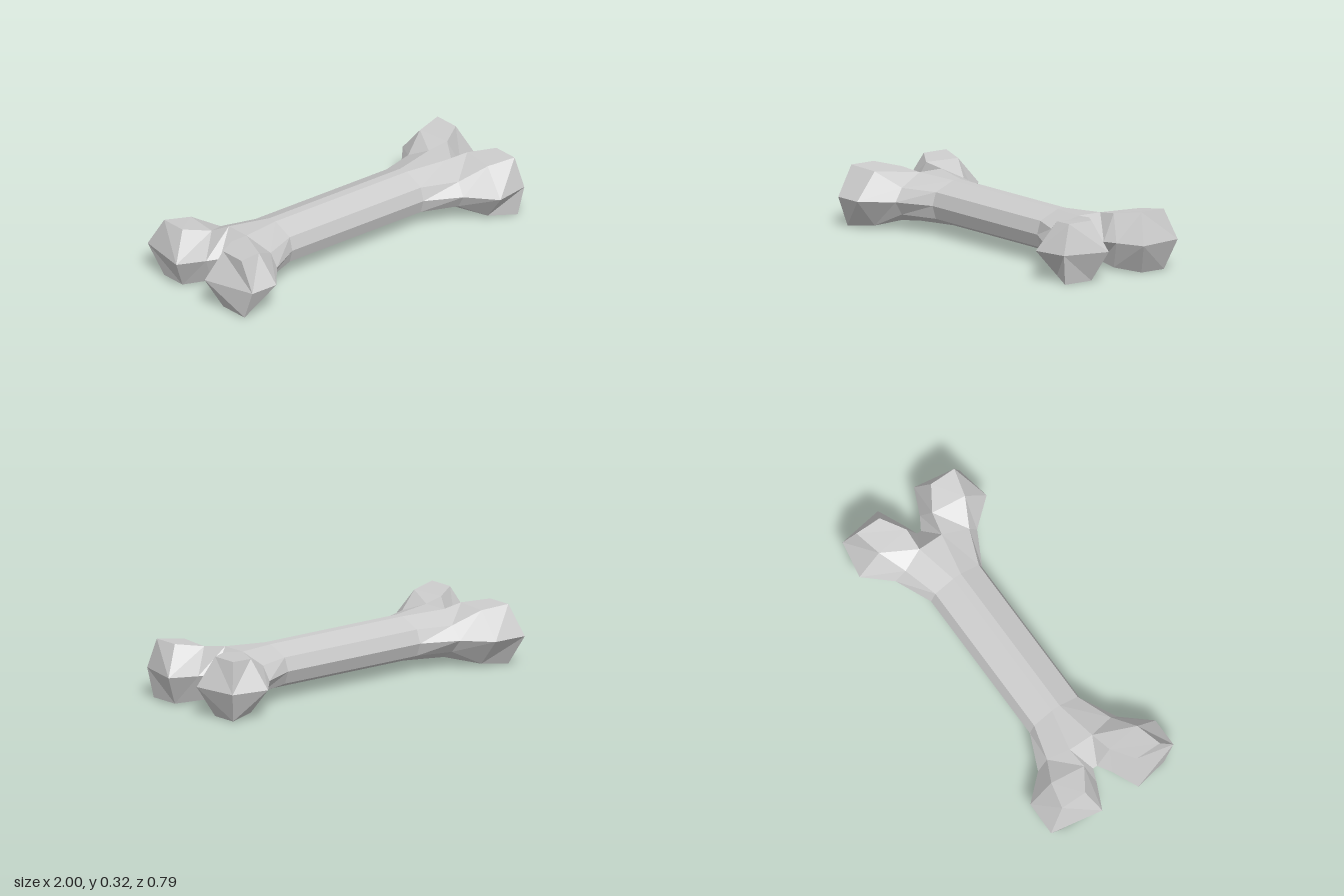
import * as THREE from 'three';

const HEIGHT = 0.316; // top and bottom mirror about half of this
const MID = HEIGHT / 2;
const below = ([x, y, z], dz = 0) => [x, HEIGHT - y, z + dz];

// Shaft profile halves: middle, shoulder and crown as [x, y, z] for x > 0
const WAIST = {
  front: [[0.44, MID, 0.147], [0.44, 0.228, 0.126], [0.44, 0.276, 0.013]],
  back: [[0.44, MID, -0.174], [0.44, 0.228, -0.147], [0.44, 0.276, -0.035]],
};
const FORK = {
  front: [[0.625, MID, 0.245], [0.63, 0.228, 0.2], [0.67, 0.285, 0.055]],
  back: [[0.635, MID, -0.26], [0.63, 0.228, -0.2], [0.67, 0.285, -0.085]],
};
const CROTCH = { front: [0.785, MID, 0.005], back: [0.785, MID, -0.02] };

// Outer equator corners of each knob: [neck, tip] as [x, z]
const OUTER = {
  '1front': [[0.75, 0.393], [0.94, 0.357]],
  '1back': [[0.76, -0.398], [0.965, -0.36]],
  '-1front': [[0.755, 0.393], [0.915, 0.393]],
  '-1back': [[0.76, -0.396], [0.95, -0.4]],
};

// Collects quads and turns them into a flat-shaded mesh
function facetMesh(name, material, addFaces) {
  const positions = [];
  const quad = (corners, flip = false) => {
    const [a, b, c, d] = flip ? [...corners].reverse() : corners;
    for (const p of [a, b, c, a, c, d]) positions.push(...p);
  };
  addFaces(quad);
  const geometry = new THREE.BufferGeometry();
  geometry.setAttribute('position', new THREE.Float32BufferAttribute(positions, 3));
  geometry.computeVertexNormals();
  const mesh = new THREE.Mesh(geometry, material);
  mesh.name = name;
  return mesh;
}

// Joins neighbouring rings with a band of quads
function loft(quad, rings, flip) {
  for (let r = 0; r < rings.length - 1; r++) {
    const a = rings[r], b = rings[r + 1];
    a.forEach((p, i) => {
      const j = (i + 1) % a.length;
      quad([p, b[i], b[j], a[j]], flip);
    });
  }
}

const toSide = (sx, ring) => ring.map(([x, y, z]) => [sx * x, y, z]);

// Ten-sided ring around the shaft
function shaftRing({ front: f, back: b }, sx) {
  return toSide(sx, [
    f[0], f[1], f[2], b[2], b[1], b[0],
    below(b[1]), below(b[2]), below(f[2]), below(f[1]),
  ]);
}

// Six-sided ring around a knob
const knobRing = (sx, midOut, topOut, topIn, midIn, dz = 0) =>
  toSide(sx, [midOut, topOut, topIn, midIn, below(topIn), below(topOut, dz)]);

export function createModel() {
  const group = new THREE.Group();
  group.name = 'bone';
  const material = new THREE.MeshStandardMaterial({ color: 0xcccccc, flatShading: true });

  // Shaft, with the wedge between the knobs closing each end
  group.add(facetMesh('shaft', material, (quad) => {
    loft(quad, [shaftRing(FORK, -1), shaftRing(WAIST, -1), shaftRing(WAIST, 1), shaftRing(FORK, 1)]);
    for (const sx of [-1, 1]) {
      const [mf, mb, tb, tf] = toSide(sx, [CROTCH.front, CROTCH.back, FORK.back[2], FORK.front[2]]);
      quad([mf, mb, tb, tf], sx < 0);
      quad([below(tf), below(tb), mb, mf], sx < 0);
    }
  }));

  // Four knobs: fork, neck and tip rings, then a creased end cap
  for (const sx of [-1, 1]) {
    for (const side of ['front', 'back']) {
      const sz = side === 'front' ? 1 : -1;
      const flip = sx * sz < 0;
      const [neck, tip] = OUTER[sx + side];
      const [mid, shoulder, crown] = FORK[side];
      const rings = [
        knobRing(sx, mid, shoulder, crown, CROTCH[side]),
        knobRing(sx, [neck[0], MID, neck[1]], [0.768, 0.3, sz * 0.27],
          [0.79, 0.3, sz * 0.08], [0.855, MID, sz * 0.048]),
        knobRing(sx, [tip[0], MID, tip[1]], [0.917, HEIGHT, sz * 0.307],
          [0.917, HEIGHT, sz * 0.162], [1, MID, sz * 0.113], sz > 0 ? 0.025 : 0),
      ];
      const name = (sx > 0 ? 'left' : 'right') + (sz > 0 ? 'Front' : 'Back') + 'Knob';
      group.add(facetMesh(name, material, (quad) => {
        loft(quad, rings, flip);
        const [midOut, topOut, topIn, midIn, botIn, botOut] = rings[2];
        quad([midIn, topIn, topOut, midOut], flip);
        quad([midOut, botOut, botIn, midIn], flip);
      }));
    }
  }
  return group;
}
